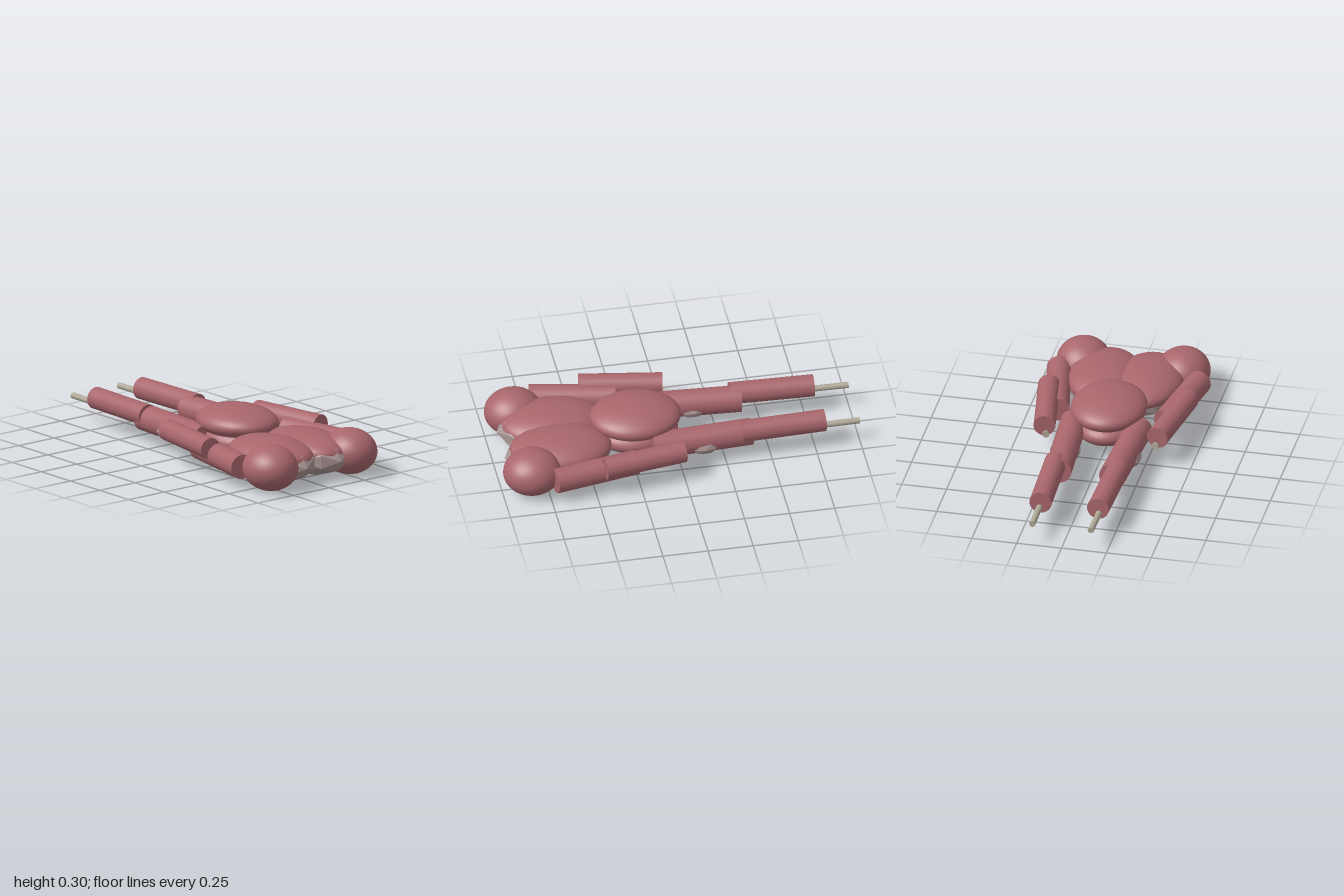
import * as THREE from 'three';

const muscle = new THREE.MeshStandardMaterial({ color: 0xa8666c });
muscle.name = 'muscle red';
const bone = new THREE.MeshStandardMaterial({ color: 0xb0a898 });
bone.name = 'bone';
const rib = new THREE.MeshStandardMaterial({ color: 0xa89492 });
rib.name = 'rib grey';

// Smooth ellipsoid
function ellipsoid(name, centre, radii) {
  const mesh = new THREE.Mesh(new THREE.SphereGeometry(1, 40, 28).scale(...radii), muscle);
  mesh.name = name;
  mesh.position.set(...centre);
  return mesh;
}

// Faceted ellipsoid; the polyhedron geometry keeps flat normals at detail 0 only
function facetedBone(name, centre, radii) {
  const geometry = new THREE.IcosahedronGeometry(1, 1).scale(...radii);
  geometry.computeVertexNormals();
  const mesh = new THREE.Mesh(geometry, rib);
  mesh.name = name;
  mesh.position.set(...centre);
  return mesh;
}

// Capped cylinder between two points
function rod(name, from, to, radius, material) {
  const a = new THREE.Vector3(...from);
  const b = new THREE.Vector3(...to);
  const mesh = new THREE.Mesh(new THREE.CylinderGeometry(radius, radius, a.distanceTo(b), 24), material);
  mesh.name = name;
  mesh.position.copy(a).add(b).multiplyScalar(0.5);
  mesh.quaternion.setFromUnitVectors(new THREE.Vector3(0, 1, 0), b.sub(a).normalize());
  return mesh;
}

export function createModel() {
  const model = new THREE.Group();
  model.name = 'muscleFigure';

  // Belly and lower back
  model.add(ellipsoid('belly', [0, 0.22, 0.212], [0.208, 0.087, 0.25]));
  model.add(ellipsoid('lowerBack', [0, 0.128, 0.212], [0.19, 0.09, 0.235]));

  for (const s of [1, -1]) {
    const side = s > 0 ? 'left' : 'right';

    // Chest and shoulder
    model.add(facetedBone(side + 'RibCage', [s * 0.12, 0.12, 0.66], [0.193, 0.117, 0.3]));
    model.add(ellipsoid(side + 'Chest', [s * 0.12, 0.15, 0.65], [0.195, 0.09, 0.281]));
    model.add(ellipsoid(side + 'Shoulder', [s * 0.278, 0.131, 0.836], [0.148, 0.126, 0.16]));

    // Arm
    model.add(rod(side + 'UpperArm', [s * 0.39, 0.131, 0.73], [s * 0.302, 0.131, 0.265], 0.068, muscle));
    model.add(rod(side + 'Forearm', [s * 0.387, 0.175, 0.455], [s * 0.314, 0.175, 0.002], 0.06, muscle));
    model.add(rod(side + 'ForearmBone', [s * 0.375, 0.127, 0.42], [s * 0.304, 0.127, -0.01], 0.019, bone));

    // Leg
    model.add(rod(side + 'Thigh', [s * 0.182, 0.135, 0.152], [s * 0.151, 0.135, -0.4], 0.074, muscle));
    model.add(facetedBone(side + 'Knee', [s * 0.169, 0.113, -0.13], [0.086, 0.056, 0.105]));
    model.add(rod(side + 'Calf', [s * 0.175, 0.16, -0.342], [s * 0.16, 0.16, -0.806], 0.061, muscle));
    model.add(rod(side + 'ShinBone', [s * 0.172, 0.133, -0.35], [s * 0.163, 0.133, -1], 0.017, bone));
  }
  return model;
}
